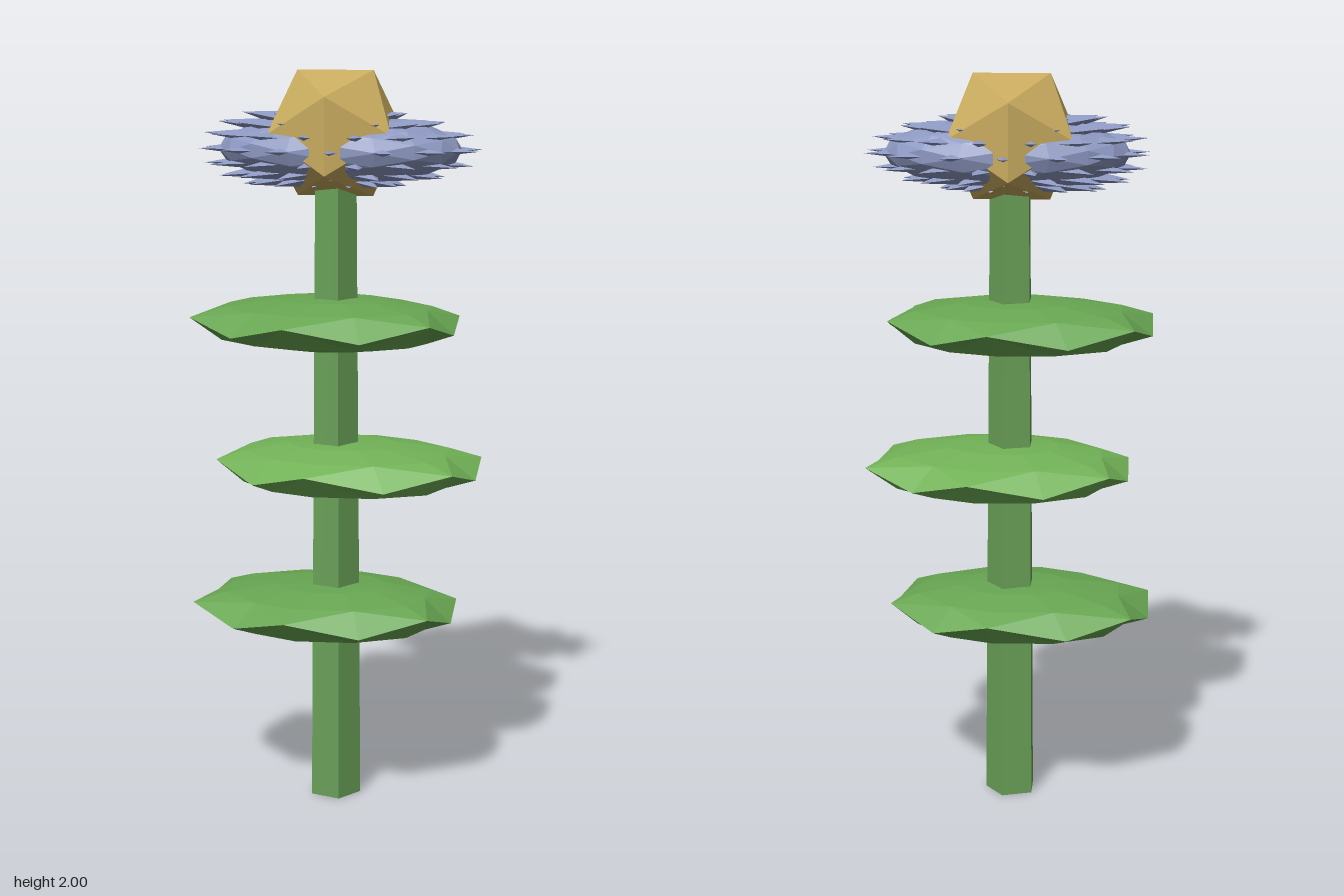
import * as THREE from 'three';
import { mergeGeometries } from 'three/addons/utils/BufferGeometryUtils.js';

const CENTRE_X = -0.012;
const CENTRE_Z = -0.007;

const flat = (color) => new THREE.MeshStandardMaterial({ color, flatShading: true });

function addMesh(parent, name, geometry, material) {
  const mesh = new THREE.Mesh(geometry, material);
  mesh.name = name;
  parent.add(mesh);
  return mesh;
}

// Faceted skin through equal-length rings listed from bottom to top, closed at both ends
function loft(rings) {
  const n = rings[0].length;
  const vertices = [];
  const tri = (a, b, c) => vertices.push(...a, ...b, ...c);
  for (let r = 0; r < rings.length - 1; r++) {
    for (let i = 0; i < n; i++) {
      const j = (i + 1) % n;
      const [a, b, c, d] = [rings[r][i], rings[r + 1][i], rings[r + 1][j], rings[r][j]];
      if ((i + r) % 2) { tri(a, b, d); tri(b, c, d); }
      else { tri(a, b, c); tri(a, c, d); }
    }
  }
  const geometry = new THREE.BufferGeometry();
  geometry.setAttribute('position', new THREE.Float32BufferAttribute(vertices, 3));
  geometry.computeVertexNormals();
  return geometry;
}

// Flattened, slightly uneven leaf disc
function leafGeometry() {
  const outline = [
    [0.33, 0.06], [0.28, 0.17], [0.11, 0.26], [-0.09, 0.275], [-0.24, 0.215], [-0.378, 0.1],
    [-0.378, -0.04], [-0.33, -0.16], [-0.16, -0.245], [0.05, -0.255], [0.2, -0.2], [0.33, -0.06],
  ];
  const layers = [[0, -0.07], [0.42, -0.064], [0.78, -0.044], [1, 0], [0.78, 0.044], [0.42, 0.064], [0, 0.07]];
  return loft(layers.map(([scale, y]) => outline.map(([x, z], i) => {
    const rim = scale === 1 ? (i % 2 ? 0.018 : -0.018) : 0;
    return [x * scale, y + rim, z * scale];
  })));
}

// Layers of pointed shards around a long oval core
function blossomGeometry() {
  const parts = [];
  const core = new THREE.IcosahedronGeometry(1, 2);
  core.deleteAttribute('uv');
  core.scale(0.33, 0.092, 0.155);
  parts.push(core);

  const layers = [-62, -42, -22, 0, 22, 42, 62];
  layers.forEach((degrees, layer) => {
    const elevation = THREE.MathUtils.degToRad(degrees);
    const reach = Math.cos(elevation);
    const count = 14;
    for (let i = 0; i < count; i++) {
      const angle = ((i + (layer % 2) / 2) / count) * Math.PI * 2;
      const long = Math.cos(angle) < 0 ? Math.pow(reach, 0.5) : reach;
      const tip = new THREE.Vector3(
        0.385 * Math.cos(angle) * long,
        0.108 * Math.sin(elevation),
        0.187 * Math.sin(angle) * reach,
      );
      const start = tip.clone().multiply(new THREE.Vector3(0.55, 0.8, 0.55));
      const direction = tip.clone().sub(start);
      const shard = new THREE.ConeGeometry(0.042, direction.length(), 4);
      shard.deleteAttribute('uv');
      shard.scale(1, 1, 0.65);
      shard.rotateX(Math.PI / 2);
      shard.scale(1.2, 0.8, 1);
      const holder = new THREE.Object3D();
      holder.position.copy(start).add(tip).multiplyScalar(0.5);
      holder.lookAt(tip);
      holder.updateMatrix();
      shard.applyMatrix4(holder.matrix);
      parts.push(shard.toNonIndexed());
    }
  });
  return mergeGeometries(parts);
}

export function createModel() {
  const model = new THREE.Group();
  model.name = 'flower';

  // Tapering five-sided stem with one edge towards +x
  const stem = addMesh(model, 'stem',
    new THREE.CylinderGeometry(0.058, 0.072, 1.76, 5, 1, false, Math.PI / 2), flat(0x69a058));
  stem.position.set(CENTRE_X, 0.88, 0);

  // Three leaf discs, the middle one turned half round
  const leaf = leafGeometry();
  [0.54, 0.935, 1.33].forEach((y, i) => {
    const mesh = addMesh(model, `leaf${i + 1}`, leaf, flat(i === 1 ? 0x72b257 : 0x68a652));
    mesh.position.set(i === 1 ? 0 : CENTRE_X, y, 0);
    mesh.rotation.y = i === 1 ? Math.PI : 0;
  });

  // Spiky petals
  const petals = addMesh(model, 'petals', blossomGeometry(), flat(0x8c97c0));
  petals.position.set(0, 1.793, CENTRE_Z);

  // Faceted flower heart
  const heart = addMesh(model, 'flowerHeart', new THREE.IcosahedronGeometry(0.194, 0), flat(0xc8ab5e));
  heart.position.set(CENTRE_X, 1.835, CENTRE_Z);

  return model;
}
